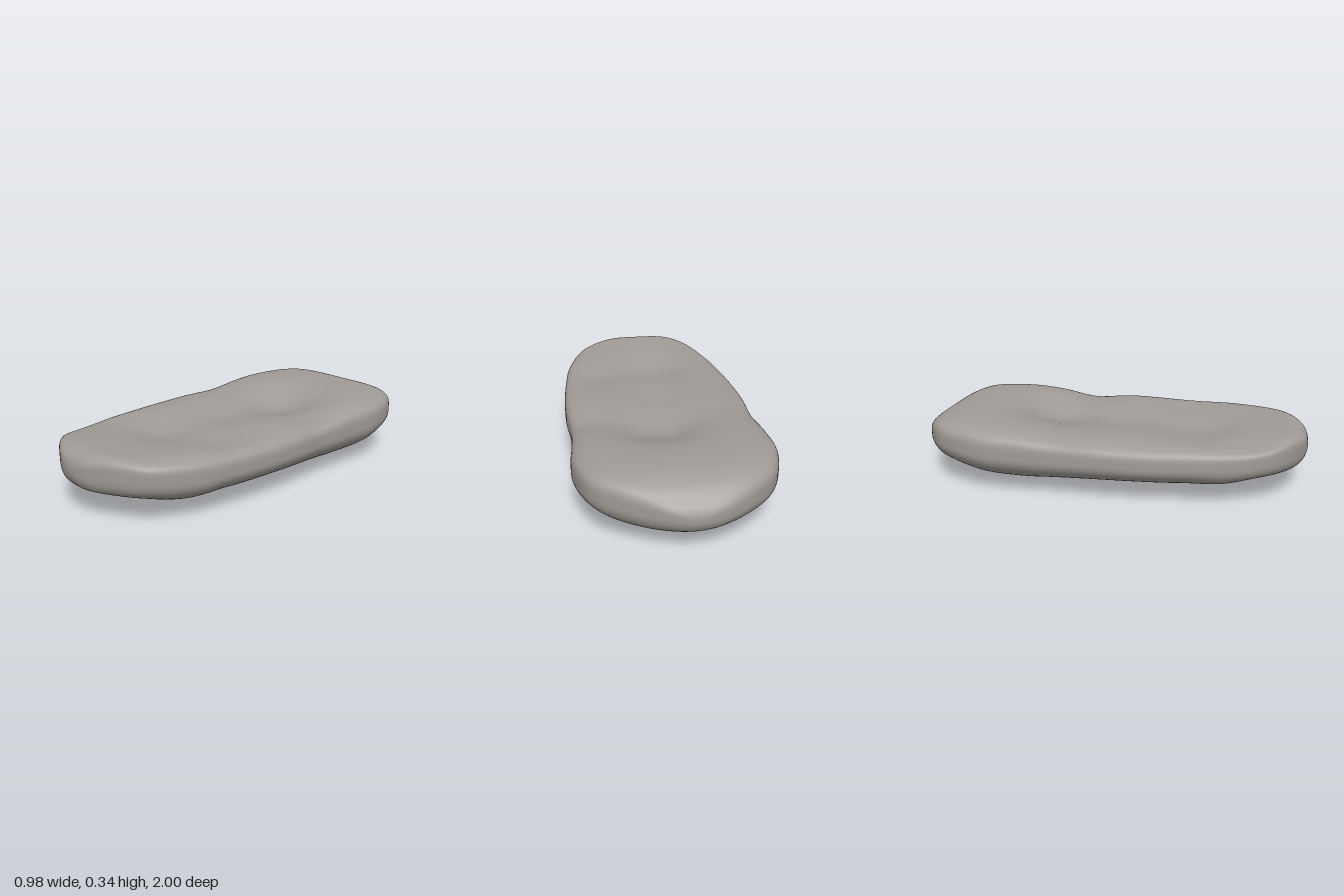
import * as THREE from 'three';

// Cross-sections from back to front: z, right edge x, left edge x, top y, bottom y
const SECTIONS = [
  [-1, -0.04, -0.04, 0.19, 0.19],
  [-0.993, -0.12, 0.04, 0.225, 0.155],
  [-0.965, -0.21, 0.13, 0.262, 0.12],
  [-0.9, -0.325, 0.28, 0.315, 0.085],
  [-0.8, -0.425, 0.405, 0.343, 0.058],
  [-0.6, -0.49, 0.47, 0.345, 0.014],
  [-0.4, -0.487, 0.467, 0.337, 0],
  [-0.2, -0.472, 0.464, 0.315, 0.01],
  [0, -0.475, 0.484, 0.312, 0.022],
  [0.2, -0.463, 0.487, 0.308, 0.027],
  [0.4, -0.435, 0.476, 0.309, 0.03],
  [0.6, -0.397, 0.452, 0.311, 0.046],
  [0.8, -0.328, 0.375, 0.313, 0.1],
  [0.9, -0.24, 0.265, 0.317, 0.12],
  [0.96, -0.14, 0.165, 0.3, 0.14],
  [0.99, -0.06, 0.095, 0.268, 0.175],
  [1, 0.02, 0.02, 0.22, 0.22],
];

// Long trough and smaller hollows on the upper face: x, z, radius x, radius z, height
const TOP_DENTS = [
  [0.04, -0.33, 0.22, 0.19, -0.075],
  [0, 0.04, 0.18, 0.22, -0.035],
  [-0.02, 0.46, 0.23, 0.2, -0.05],
  [0.3, 0.35, 0.13, 0.15, -0.02],
  [0.42, -0.22, 0.12, 0.14, -0.022],
  [-0.32, 0.72, 0.14, 0.18, -0.02],
];

// Raised right half and shallow hollows on the underside
const BOTTOM_DENTS = [
  [-0.28, -0.1, 0.15, 0.8, 0.02],
  [-0.25, 0.72, 0.14, 0.1, 0.012],
];

const relief = (dents, x, z) => dents.reduce((sum, [cx, cz, rx, rz, h]) =>
  sum + h * Math.exp(-(((x - cx) / rx) ** 2) - ((z - cz) / rz) ** 2), 0);

// Smooth blend through the sections; the ends are reflected so the tips are round
function sectionAt(t) {
  const last = SECTIONS.length - 1;
  const i = Math.min(Math.floor(t), last - 1), f = t - i;
  const get = (k) => {
    if (k >= 0 && k <= last) return SECTIONS[k];
    const tip = SECTIONS[k < 0 ? 0 : last], next = SECTIONS[k < 0 ? 1 : last - 1];
    return tip.map((v, n) => (n === 0 ? next[0] : 2 * v - next[n]));
  };
  const [a, b, c, d] = [get(i - 1), get(i), get(i + 1), get(i + 2)];
  return b.map((_, n) => 0.5 * (2 * b[n] + (c[n] - a[n]) * f
    + (2 * a[n] - 5 * b[n] + 4 * c[n] - d[n]) * f * f
    + (3 * b[n] - a[n] - 3 * c[n] + d[n]) * f ** 3));
}

function stoneGeometry(rings = 128, sides = 128) {
  const positions = [], index = [];
  const tail = 1 + (rings - 1) * sides;
  for (let i = 0; i <= rings; i++) {
    const [z, x0, x1, top, bottom] = sectionAt((i / rings) * (SECTIONS.length - 1));
    if (i === 0 || i === rings) {
      positions.push(x0, top, z);
      continue;
    }
    const mid = THREE.MathUtils.lerp(bottom, top, 0.58);
    // Bowl-shaped below, turning squarer towards the front
    const lower = 2.05 + 0.9 * THREE.MathUtils.smoothstep(z, 0.4, 0.85);
    for (let j = 0; j < sides; j++) {
      const a = (j / sides) * Math.PI * 2, c = Math.cos(a), s = Math.sin(a);
      const n = s > 0 ? 4.6 : lower;
      const r = (Math.abs(c) ** n + Math.abs(s) ** n) ** (-1 / n);
      const x = (x0 + x1) / 2 + ((x1 - x0) / 2) * c * r;
      const up = s * r;
      const y = up > 0
        ? mid + up * (top - mid) + up * up * relief(TOP_DENTS, x, z)
        : mid + up * (mid - bottom) + up * up * relief(BOTTOM_DENTS, x, z);
      positions.push(x, y, z);
    }
  }
  const id = (i, j) => (i === 0 ? 0 : i === rings ? tail : 1 + (i - 1) * sides + (j % sides));
  for (let i = 0; i < rings; i++) {
    for (let j = 0; j < sides; j++) {
      const a = id(i, j), b = id(i, j + 1), c = id(i + 1, j + 1), d = id(i + 1, j);
      if (i > 0) index.push(a, b, d);
      if (i === 0) index.push(a, c, d);
      else if (i < rings - 1) index.push(b, c, d);
    }
  }
  const geometry = new THREE.BufferGeometry();
  geometry.setAttribute('position', new THREE.Float32BufferAttribute(positions, 3));
  geometry.setIndex(index);
  geometry.computeVertexNormals();
  return geometry;
}

export function createModel() {
  const group = new THREE.Group();
  group.name = 'flatStone';
  const material = new THREE.MeshStandardMaterial({ color: 0xa09b96 });
  material.name = 'warm grey stone';
  const stone = new THREE.Mesh(stoneGeometry(), material);
  stone.name = 'stone';
  group.add(stone);
  return group;
}
